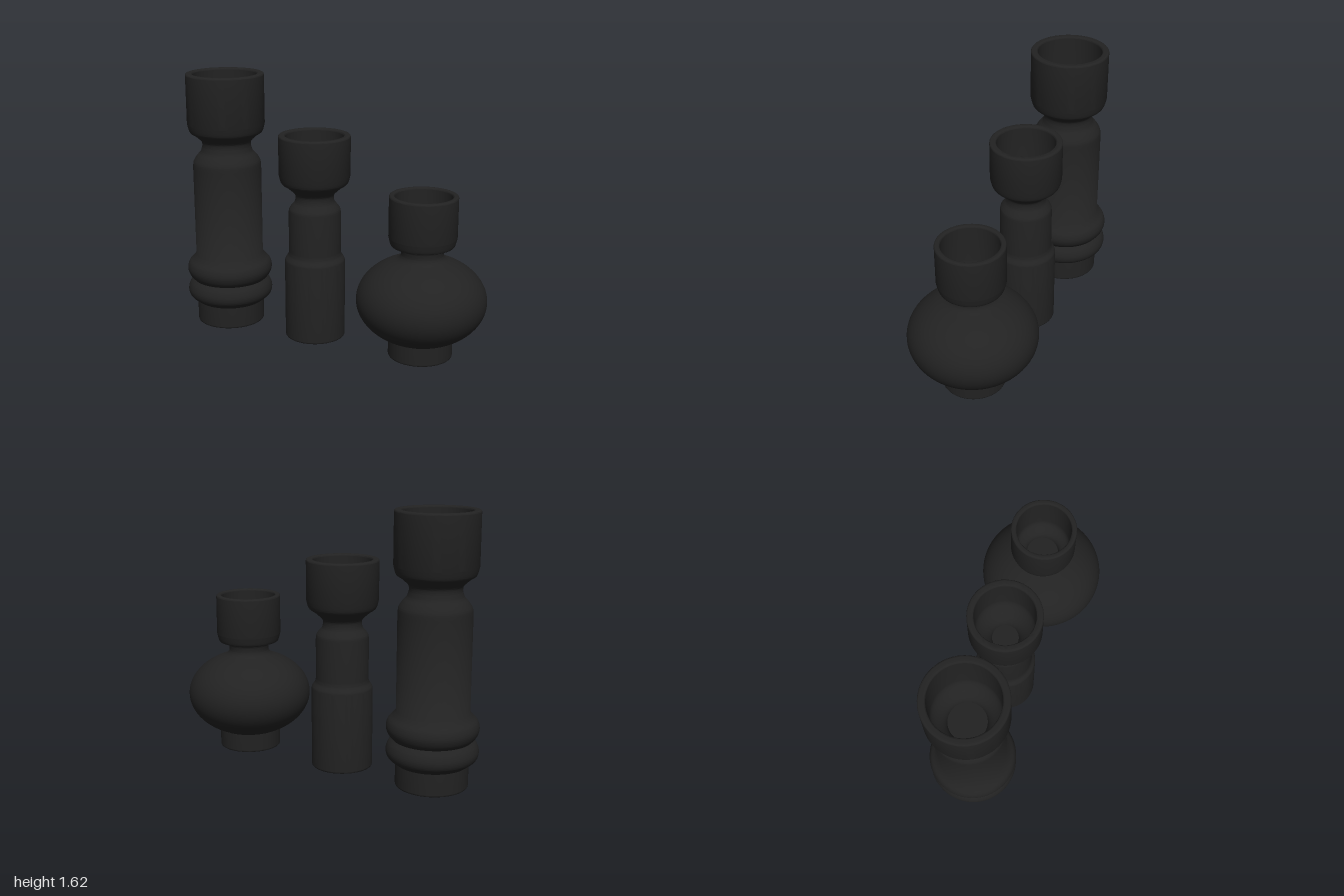
import * as THREE from 'three';
import { toCreasedNormals } from 'three/addons/utils/BufferGeometryUtils.js';

const V = (x, y) => new THREE.Vector2(x, y);

// Turns a profile around y; toBody draws the outside from the base edge up to the neck
function turned(name, x, material, s, toBody) {
  const p = new THREE.Path();
  const e = 0.012;
  p.moveTo(0, 0);
  p.lineTo(s.foot - e, 0);
  p.quadraticCurveTo(s.foot, 0, s.foot, e);
  toBody(p);
  // neck flaring into the cup
  p.splineThru([V(s.neck + 0.006, s.neckY + 0.03), V((s.neck + s.cup) / 2, (s.neckY + s.cupY) / 2 + 0.005),
    V(s.cup - 0.015, s.cupY - 0.035), V(s.cup, s.cupY + 0.015)]);
  // rounded rim
  p.lineTo(s.cup, s.top - e);
  p.quadraticCurveTo(s.cup, s.top, s.cup - e, s.top);
  p.lineTo(s.inner + e, s.top);
  p.quadraticCurveTo(s.inner, s.top, s.inner, s.top - e);
  // hollow inside, narrowing to a small flat floor
  p.lineTo(s.inner, s.cupY + 0.03);
  p.bezierCurveTo(s.inner, s.cupY - 0.03, s.floor, s.neckY + 0.07, s.floor, s.neckY + 0.01);
  p.lineTo(0, s.neckY + 0.01);

  // drop repeated points so every ring has area
  const points = p.getPoints(10).filter((q, i, a) => i === 0 || q.distanceTo(a[i - 1]) > 1e-4);
  points[points.length - 1].x = 0;
  const mesh = new THREE.Mesh(toCreasedNormals(new THREE.LatheGeometry(points, 72), 0.7), material);
  mesh.name = name;
  mesh.position.x = x;
  return mesh;
}

export function createModel() {
  const group = new THREE.Group();
  group.name = 'candleHolders';
  const black = new THREE.MeshStandardMaterial({ color: 0x222222 });
  black.name = 'matteBlack';

  // Tall holder with two rounded rings near the base
  group.add(turned('tallRingedHolder', -0.728, black,
    { foot: 0.215, neck: 0.152, neckY: 1.165, cup: 0.243, cupY: 1.29, top: 1.62, inner: 0.2, floor: 0.112 },
    (p) => {
      p.lineTo(0.215, 0.14);
      p.splineThru([V(0.232, 0.153), V(0.262, 0.18), V(0.272, 0.218), V(0.26, 0.258), V(0.235, 0.288)]);
      p.splineThru([V(0.26, 0.318), V(0.272, 0.358), V(0.262, 0.398), V(0.235, 0.428), V(0.215, 0.455)]);
      p.lineTo(0.215, 1.03);
      p.splineThru([V(0.21, 1.065), V(0.19, 1.098), V(0.164, 1.128), V(0.152, 1.165)]);
    }));

  // Medium holder with a stepped column
  group.add(turned('mediumSteppedHolder', -0.104, black,
    { foot: 0.187, neck: 0.117, neckY: 0.895, cup: 0.219, cupY: 1.03, top: 1.29, inner: 0.178, floor: 0.08 },
    (p) => {
      p.lineTo(0.187, 0.49);
      p.bezierCurveTo(0.187, 0.52, 0.161, 0.52, 0.161, 0.56);
      p.lineTo(0.161, 0.8);
      p.splineThru([V(0.157, 0.828), V(0.142, 0.85), V(0.124, 0.872), V(0.117, 0.895)]);
    }));

  // Short holder with a flattened round belly
  group.add(turned('shortRoundHolder', 0.609, black,
    { foot: 0.194, neck: 0.125, neckY: 0.65, cup: 0.203, cupY: 0.735, top: 1.0, inner: 0.17, floor: 0.1 },
    (p) => {
      p.lineTo(0.194, 0.118);
      const belly = [];
      for (let i = 0; i <= 16; i++) {
        const a = -1.045 + (i / 16) * 2.155;
        belly.push(V(0.39 * Math.cos(a), 0.355 + 0.272 * Math.sin(a)));
      }
      p.splineThru(belly);
      p.quadraticCurveTo(0.125, 0.615, 0.125, 0.65);
    }));

  return group;
}
